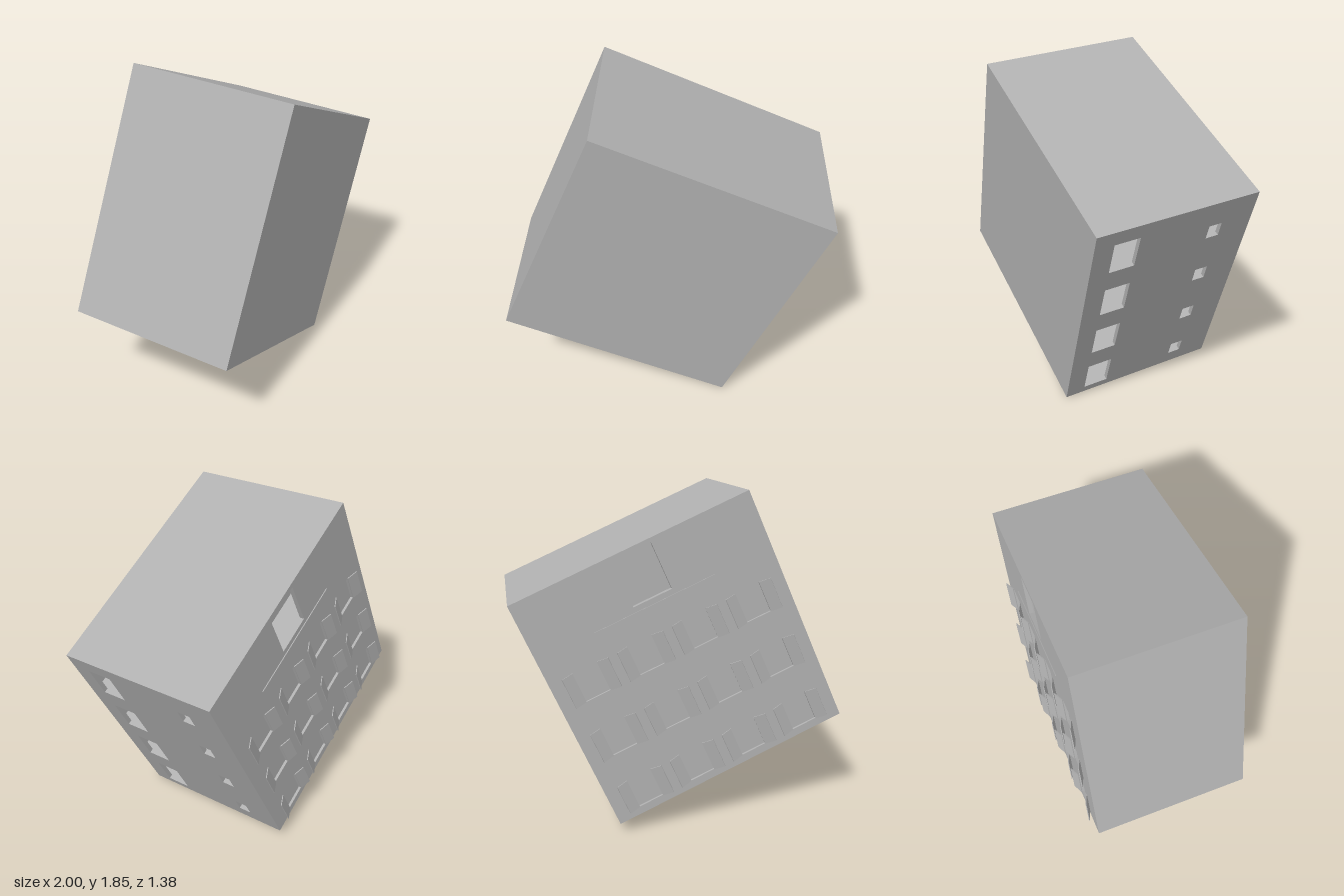
import * as THREE from 'three';

// Tilted hollow block of flats: W x H x D in its own frame
const W = 1.364, H = 1.365, D = 0.916, T = 0.025, FLOOR = H / 4;

export function createModel() {
  const grey = new THREE.MeshStandardMaterial({ color: 0xb0b0b0, side: THREE.DoubleSide });
  grey.name = 'plain grey';
  const building = new THREE.Group();
  building.name = 'building';

  const add = (name, geometry, parent = building) => {
    const mesh = new THREE.Mesh(geometry, grey);
    mesh.name = name;
    parent.add(mesh);
    return mesh;
  };
  const box = (name, w, h, d, x, y, z, parent) => {
    const mesh = add(name, new THREE.BoxGeometry(w, h, d), parent);
    mesh.position.set(x, y, z);
    return mesh;
  };

  // Wall with rectangular holes [centreX, centreY, width, height]; outer side at z = 0
  const wall = (name, width, holes) => {
    const rect = (Type, x, y, w, h) => new Type([
      new THREE.Vector2(x - w / 2, y - h / 2), new THREE.Vector2(x + w / 2, y - h / 2),
      new THREE.Vector2(x + w / 2, y + h / 2), new THREE.Vector2(x - w / 2, y + h / 2)]);
    const shape = rect(THREE.Shape, 0, 0, width, H);
    holes.forEach(h => shape.holes.push(rect(THREE.Path, ...h)));
    const geometry = new THREE.ExtrudeGeometry(shape, { depth: T, bevelEnabled: false });
    return add(name, geometry.translate(0, 0, -T));
  };

  // Plain walls, top and bottom
  box('frontWall', W, H, T, 0, 0, D / 2 - T / 2);
  box('leftWall', T, H, D, -W / 2 + T / 2, 0, 0);
  box('topSlab', W, T, D, 0, H / 2 - T / 2, 0);
  box('bottomSlab', W, T, D, 0, -H / 2 + T / 2, 0);

  // Side wall with one large and one small opening per storey
  const sideHoles = [];
  for (let i = 0; i < 4; i++) {
    const y = -H / 2 + i * FLOOR;
    sideHoles.push([0.179 - D / 2, y + 0.148, 0.142, 0.205], [0.696 - D / 2, y + 0.134, 0.074, 0.09]);
  }
  const side = wall('sideWall', D, sideHoles);
  side.rotation.y = Math.PI / 2;
  side.position.x = W / 2;

  // Back wall with three rows of windows and a doorway
  const columns = [0, 1, 2, 3].map(i => (0.1525 + 0.2317 * i - 0.5) * W);
  const rows = [0, 1, 2].map(i => -H / 2 + 0.13 + i * FLOOR);
  const backHoles = [[0, H / 2 - 0.155, 0.222, 0.272]];
  rows.forEach(y => columns.forEach(x => backHoles.push([x, y, 0.144, 0.175])));
  const back = wall('backWall', W, backHoles);
  back.rotation.y = Math.PI;
  back.position.z = -D / 2;

  // Window panes with a pair of half-open shutters
  rows.forEach(y => columns.forEach(x => {
    const unit = new THREE.Group();
    unit.name = 'window';
    unit.position.set(x, y, 0);
    back.add(unit);
    box('pane', 0.144, 0.175, 0.006, 0, 0, -0.018, unit);
    for (const s of [-1, 1]) {
      const shutter = add('shutter', new THREE.BoxGeometry(0.066, 0.175, 0.005).translate(s * 0.033, 0, 0.003), unit);
      shutter.position.x = s * 0.072;
      shutter.rotation.y = -s * 0.38;
    }
  }));
  // Thin ledge beside the doorway
  box('ledge', 0.7, 0.008, 0.006, 0, H / 2 - 0.325, 0.002, back);

  // Floors and inner partitions
  for (let i = 1; i < 4; i++) {
    const y = -H / 2 + i * FLOOR;
    box('floorSlab', W - 2 * T, T, D - 2 * T, 0, y, 0);
    for (const z of [0.22, 0.735]) {
      box('partition', W - 0.2, FLOOR - T, 0.012, -0.08, y + FLOOR / 2, D / 2 - z);
    }
  }

  // Lean the whole block
  const X = new THREE.Vector3(0.865, -0.396, -0.308).normalize();
  const Z = new THREE.Vector3().crossVectors(X, new THREE.Vector3(0.396, 0.916, -0.066)).normalize();
  const Y = new THREE.Vector3().crossVectors(Z, X);
  building.quaternion.setFromRotationMatrix(new THREE.Matrix4().makeBasis(X, Y, Z));
  building.position.y = 0.928;

  const model = new THREE.Group();
  model.name = 'model';
  model.add(building);
  return model;
}
